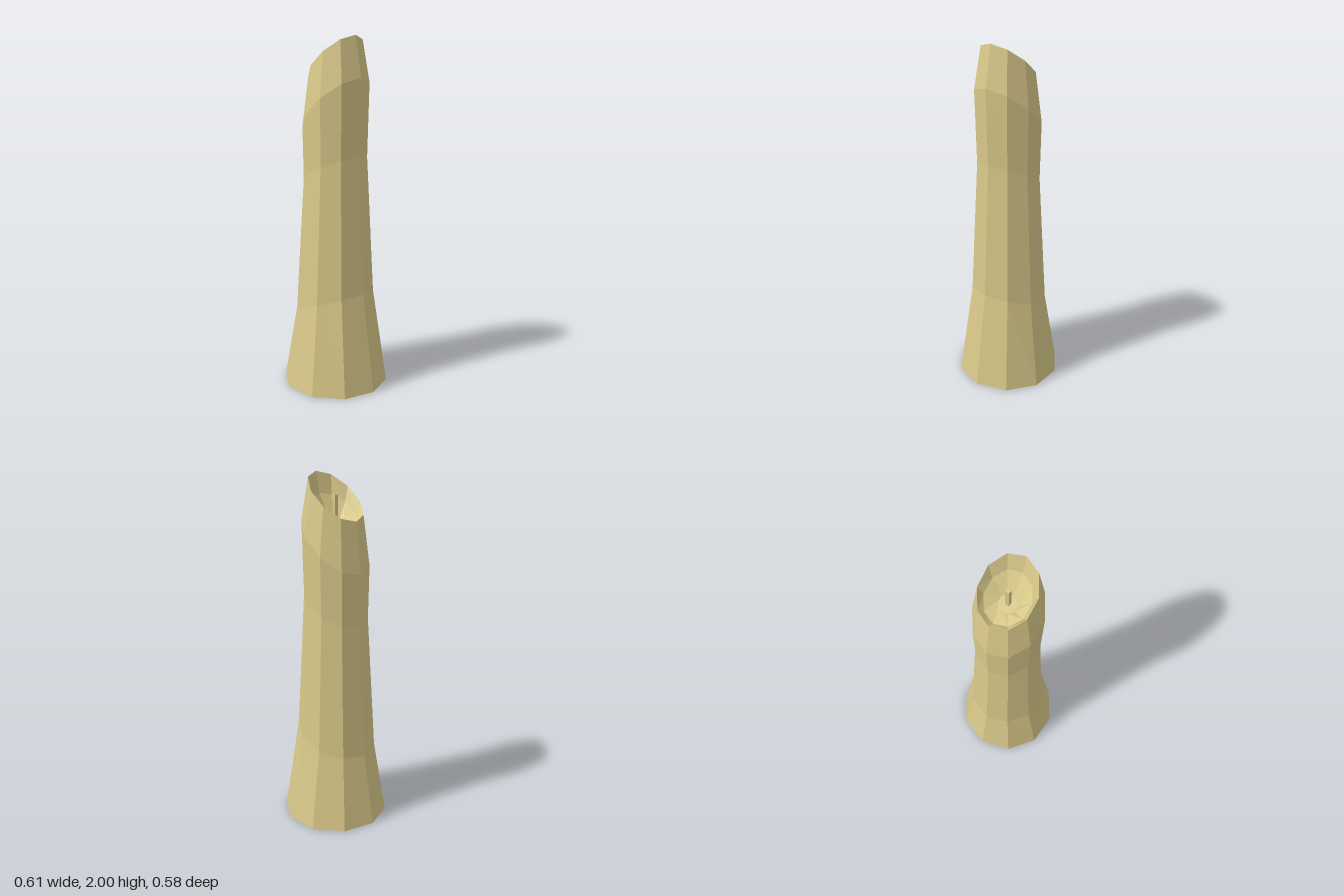
import * as THREE from 'three';

const SIDES = 10;

// Each ring is [radius, centre height, slope along x, x offset]; faces look outward going up.
function loft(rings, material, name) {
  const points = rings.map(([r, y, slope, dx]) =>
    Array.from({ length: SIDES }, (_, i) => {
      const a = (i / SIDES) * Math.PI * 2;
      const x = r * Math.cos(a);
      return [x + dx, y + slope * x, r * Math.sin(a)];
    }));
  const pos = [];
  for (let k = 0; k < rings.length - 1; k++) {
    for (let i = 0; i < SIDES; i++) {
      const j = (i + 1) % SIDES;
      const a0 = points[k][i], b0 = points[k][j];
      const a1 = points[k + 1][i], b1 = points[k + 1][j];
      if (rings[k + 1][0] > 0) pos.push(...a0, ...a1, ...b1);
      if (rings[k][0] > 0) pos.push(...a0, ...b1, ...b0);
    }
  }
  const geometry = new THREE.BufferGeometry();
  geometry.setAttribute('position', new THREE.Float32BufferAttribute(pos, 3));
  geometry.computeVertexNormals();
  const mesh = new THREE.Mesh(geometry, material);
  mesh.name = name;
  return mesh;
}

export function createModel() {
  const wax = new THREE.MeshStandardMaterial({ color: 0xd9c98a, flatShading: true });
  wax.name = 'wax';
  const group = new THREE.Group();
  group.name = 'candle';

  const rim = [0.15, 1.882, 0.81, -0.002];

  // Flared outer shell with increasingly slanted rings, closed underneath
  group.add(loft([
    [0, 0, 0, 0],
    [0.305, 0, 0, 0],
    [0.226, 0.495, 0.34, -0.007],
    [0.181, 1.275, 0.45, -0.003],
    [0.188, 1.63, 0.8, 0],
    rim,
  ], wax, 'candleBody'));

  // Melted hollow in the slanted top
  group.add(loft([
    rim,
    [0.121, 1.815, 0.6, 0],
    [0.05, 1.75, 0.1, 0],
    [0, 1.75, 0, 0],
  ], wax, 'meltedHollow'));

  // Short square wick
  const wick = new THREE.Mesh(new THREE.BoxGeometry(0.021, 0.15, 0.021), wax);
  wick.position.set(0.003, 1.815, 0);
  wick.name = 'wick';
  group.add(wick);

  return group;
}
